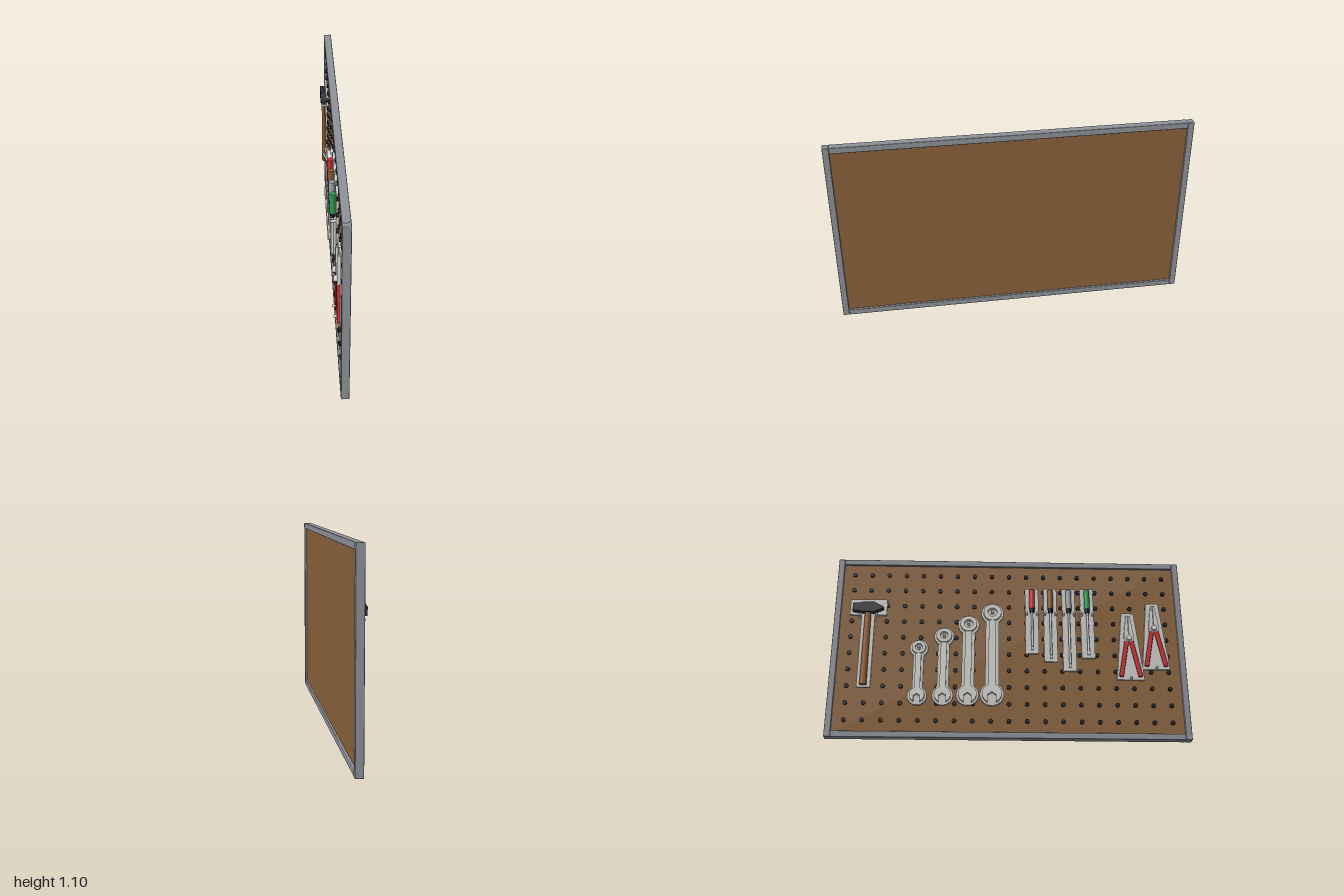
import * as THREE from 'three';
import { mergeGeometries } from 'three/addons/utils/BufferGeometryUtils.js';
import { RoundedBoxGeometry } from 'three/addons/geometries/RoundedBoxGeometry.js';

const mat = (name, color) => {
  const m = new THREE.MeshStandardMaterial({ color });
  m.name = name;
  return m;
};

export function createModel() {
  const frameGrey = mat('frame grey', 0x8e9299);
  const boardBrown = mat('board brown', 0x8b623c);
  const holeBlack = mat('hole black', 0x1b1b1e);
  const headBlack = mat('hammer head black', 0x2a2c33);
  const steel = mat('light steel', 0xd6d6d2);
  const plateGrey = mat('plate grey', 0xcfcfcc);
  const wood = mat('wood', 0x8f5a2c);
  const red = mat('red', 0xd12f35);
  const green = mat('green', 0x2a9d50);
  const grey = mat('handle grey', 0xa0a3aa);

  // Panel space: X runs along the board, Y is up, Z comes out of the tool side.
  const panel = new THREE.Group();
  panel.name = 'pegboard';
  panel.rotation.y = -Math.PI / 2;

  const add = (name, geo, material, parent = panel) => {
    const mesh = new THREE.Mesh(geo, material);
    mesh.name = name;
    parent.add(mesh);
    return mesh;
  };
  const group = (name, x, y = 0) => {
    const g = new THREE.Group();
    g.name = name;
    g.position.set(x, y, 0);
    panel.add(g);
    return g;
  };
  // Box given by centre and size in the panel plane, and front and back depth
  const box = (name, x, y, w, h, z0, z1, material, parent) => {
    const mesh = add(name, new THREE.BoxGeometry(w, h, z1 - z0), material, parent);
    mesh.position.set(x, y, (z0 + z1) / 2);
    return mesh;
  };
  const extrude = (name, shape, z0, z1, material, parent) => {
    const geo = new THREE.ExtrudeGeometry(shape, { depth: z1 - z0, bevelEnabled: false, curveSegments: 20 });
    return add(name, geo.translate(0, 0, z0), material, parent);
  };
  const polygon = (pts) => new THREE.Shape(pts.map(([x, y]) => new THREE.Vector2(x, y)));
  const disc = (r, hole) => {
    const s = new THREE.Shape().absarc(0, 0, r, 0, Math.PI * 2);
    if (hole) s.holes.push(new THREE.Path().absarc(0, 0, hole, 0, Math.PI * 2, true));
    return s;
  };
  // Round peg standing out of the board
  const peg = (name, x, y, r, z0, z1, parent, material = steel) => {
    const geo = new THREE.CylinderGeometry(r, r, z1 - z0, 16).rotateX(Math.PI / 2);
    add(name, geo, material, parent).position.set(x, y, (z0 + z1) / 2);
  };

  // Board and frame
  box('board', 0, 0.55, 1.94, 1.04, -0.025, -0.005, boardBrown);
  for (const s of [-1, 1]) {
    add('framePost', new RoundedBoxGeometry(0.035, 1.1, 0.044, 2, 0.004), frameGrey)
      .position.set(s * 0.9825, 0.55, -0.015);
    add('frameRail', new RoundedBoxGeometry(1.93, 0.035, 0.044, 2, 0.004), frameGrey)
      .position.set(0, 0.55 + s * 0.5325, -0.015);
  }

  // Grid of dark holes
  const holes = [];
  for (let i = -9; i <= 9; i++)
    for (let j = 1; j <= 10; j++)
      holes.push(new THREE.CylinderGeometry(0.0125, 0.0125, 0.014, 12)
        .rotateX(Math.PI / 2).translate(i * 0.1, j * 0.1, -0.003));
  add('holes', mergeGeometries(holes), holeBlack);

  // Hammer
  const hammer = group('hammer', -0.807);
  box('hammerHeadPlate', 0, 0.785, 0.21, 0.1, -0.005, 0.007, plateGrey, hammer);
  box('hammerHandlePlate', 0, 0.515, 0.076, 0.45, -0.005, 0.0065, plateGrey, hammer);
  const handle = add('hammerHandle', new THREE.CylinderGeometry(0.018, 0.02, 0.455, 20), wood, hammer);
  handle.scale.z = 0.6;
  handle.position.set(0, 0.5275, 0.019);
  extrude('hammerHead', polygon([[-0.087, 0.752], [-0.05, 0.748], [-0.03, 0.743], [0.035, 0.743],
    [0.087, 0.768], [0.087, 0.777], [0.035, 0.805], [-0.03, 0.805], [-0.05, 0.799], [-0.087, 0.796]]),
    0.007, 0.038, headBlack, hammer);
  for (const s of [-1, 1]) peg('hammerPeg', s * 0.05, 0.73, 0.007, -0.005, 0.034, hammer);

  // Wrenches: ring on top, open jaw at the bottom
  const jaw = (r) => {
    const w = r * 0.42, a = Math.asin(0.42);
    const s = new THREE.Shape();
    s.absarc(0, 0, r, -Math.PI / 2 + a, Math.PI * 1.5 - a);
    s.lineTo(-w, -r * 0.15);
    s.lineTo(0, r * 0.15);
    s.lineTo(w, -r * 0.15);
    return s;
  };
  [[-0.508, 0.53, 0.039], [-0.368, 0.605, 0.043], [-0.23, 0.68, 0.047], [-0.095, 0.755, 0.051]]
    .forEach(([x, top, r]) => {
      const g = group('wrench', x);
      const jr = r * 1.08, low = 0.2 + jr, mid = (top + low) / 2, len = top - low;
      extrude('wrenchRingPlate', disc(r + 0.013), -0.005, 0.007, plateGrey, g).position.y = top;
      extrude('wrenchJawPlate', disc(jr + 0.012), -0.005, 0.007, plateGrey, g).position.y = low;
      box('wrenchShaftPlate', 0, mid, r * 1.5, len, -0.005, 0.0065, plateGrey, g);
      extrude('wrenchRing', disc(r, r * 0.52), 0.007, 0.027, steel, g).position.y = top;
      extrude('wrenchJaw', jaw(jr), 0.007, 0.026, steel, g).position.y = low;
      box('wrenchShaft', 0, mid, r * 0.8, len - r * 1.5, 0.007, 0.022, steel, g);
      peg('wrenchPeg', 0, top, 0.008, -0.005, 0.037, g);
    });

  // Screwdrivers, each resting on two pegs
  [[0.132, 0.505, red], [0.238, 0.455, wood], [0.344, 0.4, grey], [0.45, 0.48, green]]
    .forEach(([x, bottom, color]) => {
      const g = group('screwdriver', x);
      const cyl = (name, r0, r1, y0, y1, m) => add(name,
        new THREE.CylinderGeometry(r1, r0, y1 - y0, 20), m, g).position.set(0, (y0 + y1) / 2, 0.0215);
      box('screwdriverPlate', 0, (bottom + 0.92) / 2, 0.076, 0.92 - bottom, -0.005, 0.007, plateGrey, g);
      cyl('screwdriverHandle', 0.016, 0.016, 0.782, 0.9, color);
      cyl('screwdriverCollar', 0.013, 0.016, 0.757, 0.782, holeBlack);
      cyl('screwdriverShaft', 0.0065, 0.0065, bottom + 0.035, 0.757, steel);
      box('screwdriverTip', 0, bottom + 0.0275, 0.016, 0.025, 0.019, 0.024, steel, g);
      for (const s of [-1, 1]) peg('screwdriverPeg', s * 0.031, 0.75, 0.007, -0.005, 0.037, g);
    });

  // Pliers, built around the pivot
  [[0.683, 0.6], [0.83, 0.665]].forEach(([x, y]) => {
    const g = group('pliers', x, y);
    extrude('pliersPlate', polygon([[-0.078, -0.25], [0.078, -0.25], [0.035, 0.165], [-0.035, 0.165]]),
      -0.005, 0.007, plateGrey, g);
    for (const s of [-1, 1]) {
      const pts = [[s * 0.0015, -0.025], [s * 0.028, -0.02], [s * 0.027, 0.03], [s * 0.011, 0.145], [s * 0.0015, 0.145]];
      extrude('pliersJaw', polygon(pts), 0.007, 0.02, steel, g);
      const grip = add('pliersHandle', new RoundedBoxGeometry(0.025, 0.222, 0.016, 2, 0.005), red, g);
      grip.position.set(s * 0.034, -0.126, 0.0145);
      grip.rotation.z = s * 0.19;
    }
    peg('pliersPivot', 0, 0, 0.016, 0.007, 0.037, g);
    peg('pliersPeg', 0, -0.245, 0.007, -0.005, 0.036, g);
  });

  const model = new THREE.Group();
  model.name = 'toolBoard';
  model.add(panel);
  return model;
}
